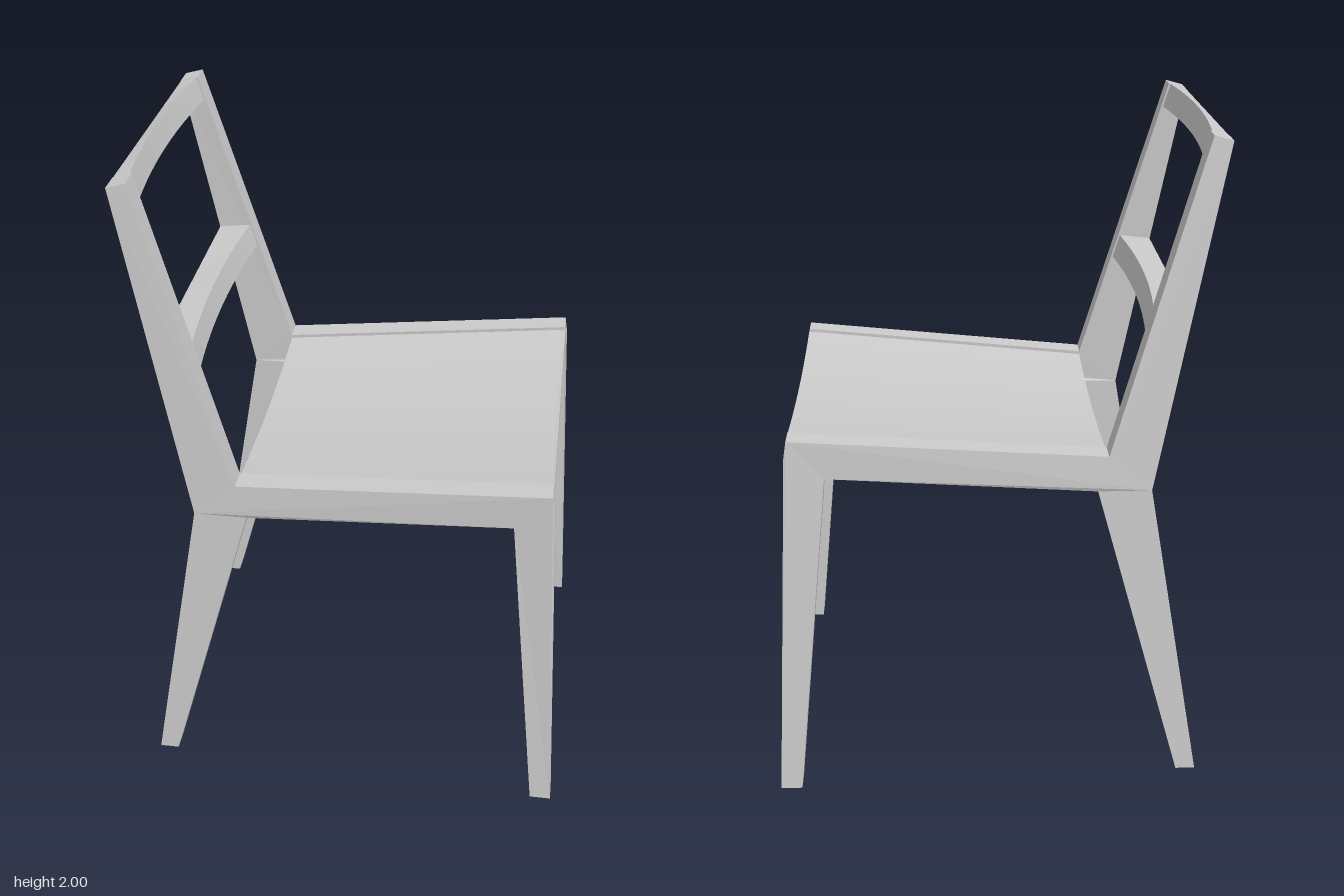
import * as THREE from 'three';

const material = new THREE.MeshStandardMaterial({ color: 0xcccccc, side: THREE.DoubleSide });
const clamp = THREE.MathUtils.clamp;
const lerp = THREE.MathUtils.lerp;

// Side profile: back post, seat rail, front leg and back leg in one piece
const outline = [
  [-0.66, 1.985], [-0.47, 0.96], [-0.64, 0], [-0.58, 0], [-0.31, 0.96], [0.49, 1.03],
  [0.595, 0], [0.66, 0], [0.603, 1.1], [0.595, 1.15], [-0.34, 1.07], [-0.605, 2],
];

// Distance of the outer face from the middle: wider to the front and at the feet
function outerZ(x, y) {
  const front = clamp((x + 0.34) / 0.94, 0, 1);
  const lift = Math.max(0, y - 1.15) / 0.85;
  const drop = Math.max(0, 0.96 - y) / 0.96;
  return 0.497 + 0.043 * front - 0.047 * lift + (x > 0 ? 0.04 : 0.023) * drop;
}

function sideFrame(side) {
  const shape = new THREE.Shape(outline.map(([x, y]) => new THREE.Vector2(x, y)));
  const geometry = new THREE.ExtrudeGeometry(shape, { depth: 1, bevelEnabled: false });
  const p = geometry.attributes.position;
  for (let i = 0; i < p.count; i++) {
    const outer = outerZ(p.getX(i), p.getY(i));
    const isOuter = (p.getZ(i) > 0.5) === (side > 0);
    p.setZ(i, side * (isOuter ? outer : outer - 0.07));
  }
  geometry.computeVertexNormals();
  return geometry;
}

// Lofts a four-cornered section across the chair; corners(u) gives [x, y, z] for u from -1 to 1.
// Each face has its own vertices so the long edges stay sharp.
function crossLoft(corners, steps = 16) {
  const position = [], index = [];
  for (let k = 0; k < 4; k++) {
    const base = position.length / 3;
    for (let i = 0; i <= steps; i++) {
      const c = corners((2 * i) / steps - 1);
      position.push(...c[k], ...c[(k + 1) % 4]);
      if (i < steps) {
        const a = base + 2 * i;
        index.push(a, a + 1, a + 3, a, a + 3, a + 2);
      }
    }
  }
  const geometry = new THREE.BufferGeometry();
  geometry.setAttribute('position', new THREE.Float32BufferAttribute(position, 3));
  geometry.setIndex(index);
  geometry.computeVertexNormals();
  return geometry;
}

// Back and front edge of the post at a height
const postBack = (y) => lerp(-0.47, -0.66, (y - 0.96) / 1.025);
const postFront = (y) => lerp(-0.34, -0.605, (y - 1.07) / 0.93);

// Backrest rail between the posts, hollowed on its front
function backRail(bottom, top, slope, halfWidth) {
  return crossLoft((u) => {
    const z = u * halfWidth;
    const hollow = 0.004 + 0.024 * (1 - u * u);
    return [
      [postBack(bottom) + 0.003, bottom, z],
      [postFront(bottom) - hollow, bottom, z],
      [postFront(top) - hollow, top, z],
      [postBack(top) + 0.003, top - slope, z],
    ];
  });
}

// Dished surface of the seat
const seatTop = (x, u) => 1.06 + 0.08 * (x + 0.34) / 0.935 - 0.026 * (1 - u * u);

export function createModel() {
  const chair = new THREE.Group();
  chair.name = 'chair';
  const add = (name, geometry) => {
    const mesh = new THREE.Mesh(geometry, material);
    mesh.name = name;
    chair.add(mesh);
  };

  add('leftSideFrame', sideFrame(1));
  add('rightSideFrame', sideFrame(-1));

  // Thin dished seat panel, wider at the front
  const x0 = -0.34, x1 = 0.59, thickness = 0.028;
  add('seat', crossLoft((u) => [
    [x0, seatTop(x0, u) - thickness, u * 0.435],
    [x1, seatTop(x1, u) - thickness, u * 0.475],
    [x1, seatTop(x1, u), u * 0.475],
    [x0, seatTop(x0, u), u * 0.435],
  ]));

  // Front rail, its top following the dish
  add('frontRail', crossLoft((u) => [
    [0.545, 1.045, u * 0.48],
    [0.6, 1.05, u * 0.48],
    [0.597, seatTop(0.597, u) + 0.001, u * 0.48],
    [0.545, seatTop(0.545, u) - 0.004, u * 0.48],
  ]));

  add('topRail', backRail(1.925, 1.998, 0.014, 0.4));
  add('middleRail', backRail(1.415, 1.49, 0.01, 0.425));
  return chair;
}
